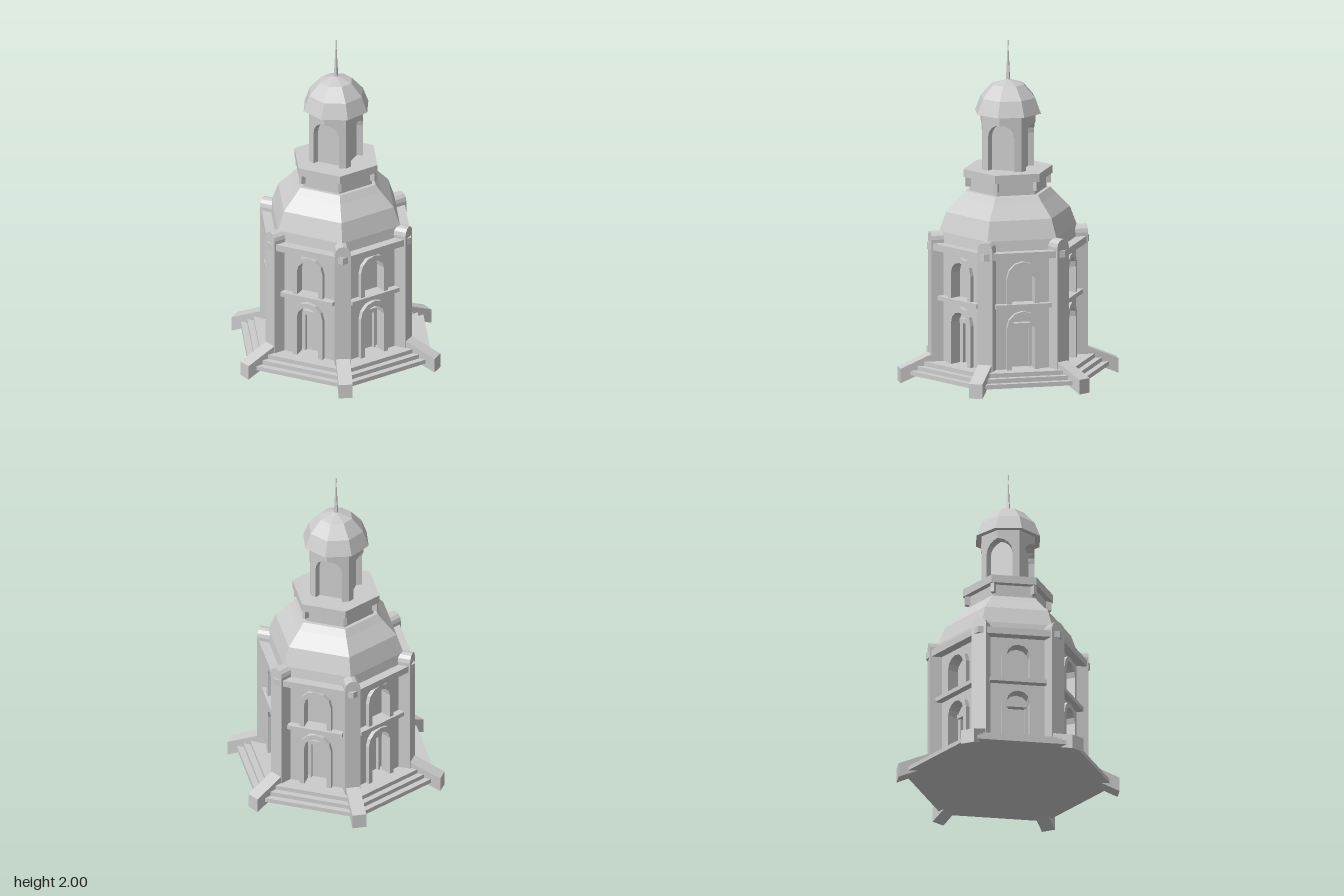
import * as THREE from 'three';

const mat = new THREE.MeshStandardMaterial({ color: 0xcccccc, flatShading: true });

function add(parent, name, geo) {
  const m = new THREE.Mesh(geo, mat);
  m.name = name;
  parent.add(m);
  return m;
}

// Prism with a corner on the x axis (6 sides) or on both axes (8 sides); profile is [radius, y] upwards
function ring(profile, sides) {
  const pts = profile.map(([r, y]) => new THREE.Vector2(r, y));
  const geo = new THREE.LatheGeometry(pts, sides).toNonIndexed();
  if (sides === 6) geo.rotateY(Math.PI / 6);
  geo.computeVertexNormals();
  return geo;
}
const hexSlab = (r, y0, y1) => ring([[0, y0], [r, y0], [r, y1], [0, y1]], 6);

// Outline of a round-headed opening, from bottom left over the top to bottom right
function archPoints(w, y0, top, segs = 6) {
  const pts = [new THREE.Vector2(-w, y0)];
  for (let i = 0; i <= segs; i++) {
    const a = Math.PI * (1 - i / segs);
    pts.push(new THREE.Vector2(w * Math.cos(a), top - w + w * Math.sin(a)));
  }
  pts.push(new THREE.Vector2(w, y0));
  return pts;
}

function extrude(shape, z0, z1) {
  const geo = new THREE.ExtrudeGeometry(shape, { depth: z1 - z0, bevelEnabled: false });
  return geo.translate(0, 0, z0);
}

function box(w, y0, y1, z0, z1) {
  return new THREE.BoxGeometry(w, y1 - y0, z1 - z0).translate(0, (y0 + y1) / 2, (z0 + z1) / 2);
}

function turned(parent, name, count, k) {
  const g = new THREE.Group();
  g.name = name + (k + 1);
  g.rotation.y = (k * 2 * Math.PI) / count;
  parent.add(g);
  return g;
}

// One side of the two-storey hall, facing +z
function buildSide(g) {
  const openings = [[0.12, 0.46], [0.505, 0.75]];
  const wall = new THREE.Shape([[-0.208, 0.1], [0.208, 0.1], [0.208, 0.8], [-0.208, 0.8]]
    .map(([x, y]) => new THREE.Vector2(x, y)));
  for (const [y0, top] of openings) {
    wall.holes.push(new THREE.Path(archPoints(0.067, y0, top - 0.03)));
    const surround = [...archPoints(0.095, y0, top), ...archPoints(0.067, y0, top - 0.03).reverse()];
    add(g, 'archSurround', extrude(new THREE.Shape(surround), 0.34, 0.385));
  }
  add(g, 'wall', extrude(wall, 0.315, 0.36));
  add(g, 'ledge', box(0.328, 0.48, 0.505, 0.34, 0.4));
  // Door frame on the inner core
  add(g, 'doorLintel', box(0.12, 0.355, 0.38, 0.28, 0.325));
  for (const s of [-1, 1]) add(g, 'doorJamb', box(0.012, 0.11, 0.36, 0.28, 0.31).translate(s * 0.054, 0, 0));
}

// Corner pier and stair cheek, pointing along +x
function buildCorner(g) {
  const pier = extrude(new THREE.Shape(archPoints(0.045, 0.1, 0.875)), 0.385, 0.46);
  add(g, 'cornerPier', pier.rotateY(Math.PI / 2));
  const cheek = new THREE.Shape([[0.4, 0.1], [0.64, 0], [0.64, 0.085], [0.45, 0.165], [0.4, 0.165]]
    .map(([x, y]) => new THREE.Vector2(x, y)));
  add(g, 'stairCheek', extrude(cheek, -0.04, 0.04));
  add(g, 'galleryBracket', new THREE.BoxGeometry(0.035, 0.06, 0.022).translate(0.232, 1.155, 0));
}

// Two half panels of the lantern meeting in a corner at +z, with an arch cut through that corner
function buildLanternSide(g) {
  const R = 0.165, w = R * Math.SQRT1_2, slope = Math.tan(Math.PI / 8);
  for (const s of [-1, 1]) {
    const half = archPoints(0.08, 1.2, 1.5, 8).filter((p) => p.x > -1e-6);
    const pts = [...half, new THREE.Vector2(w, 1.2), new THREE.Vector2(w, 1.56), new THREE.Vector2(0, 1.56)];
    const geo = extrude(new THREE.Shape(pts.map((p) => new THREE.Vector2(s * p.x, p.y))), R - 0.06, R);
    // Slant the panel back and taper it toward the axis
    const pos = geo.attributes.position;
    for (let i = 0; i < pos.count; i++) {
      const x = pos.getX(i), inner = pos.getZ(i) < R - 0.03;
      const z = R - Math.abs(x) * slope;
      if (inner) pos.setXYZ(i, x * 0.75, pos.getY(i), z * 0.65);
      else pos.setZ(i, z);
    }
    geo.computeVertexNormals();
    add(g, 'lanternArch', geo);
  }
}

export function createModel() {
  const model = new THREE.Group();
  model.name = 'hexagonalTower';

  // Stepped base
  for (let i = 0; i < 3; i++) {
    add(model, 'step' + (i + 1), hexSlab(0.606 - i * 0.0405, 0.045 + i * 0.025, 0.07 + i * 0.025));
  }

  // Hall
  add(model, 'innerCore', hexSlab(0.335, 0.11, 0.8));
  for (let k = 0; k < 6; k++) {
    buildSide(turned(model, 'hallSide', 6, k));
    buildCorner(turned(model, 'hallCorner', 6, k));
  }
  add(model, 'cornice', hexSlab(0.476, 0.77, 0.81));

  // Main roof and gallery
  add(model, 'mainDome', ring([[0, 0.8], [0.416, 0.8], [0.405, 0.87], [0.364, 0.98], [0.285, 1.06],
    [0.25, 1.1], [0, 1.1]], 6));
  add(model, 'galleryDrum', hexSlab(0.226, 1.09, 1.19));
  add(model, 'gallerySlab', hexSlab(0.262, 1.18, 1.227));

  // Lantern
  add(model, 'lanternCore', box(0.2, 1.21, 1.56, -0.1, 0.1));
  for (let k = 0; k < 4; k++) buildLanternSide(turned(model, 'lanternSide', 4, k));
  add(model, 'lanternDome', ring([[0, 1.55], [0.197, 1.55], [0.163, 1.64], [0.096, 1.715], [0, 1.745]], 8));

  // Spire
  const spire = new THREE.ConeGeometry(0.014, 0.27, 4).rotateY(Math.PI / 4).translate(0, 1.865, 0);
  add(model, 'spire', spire);

  return model;
}
